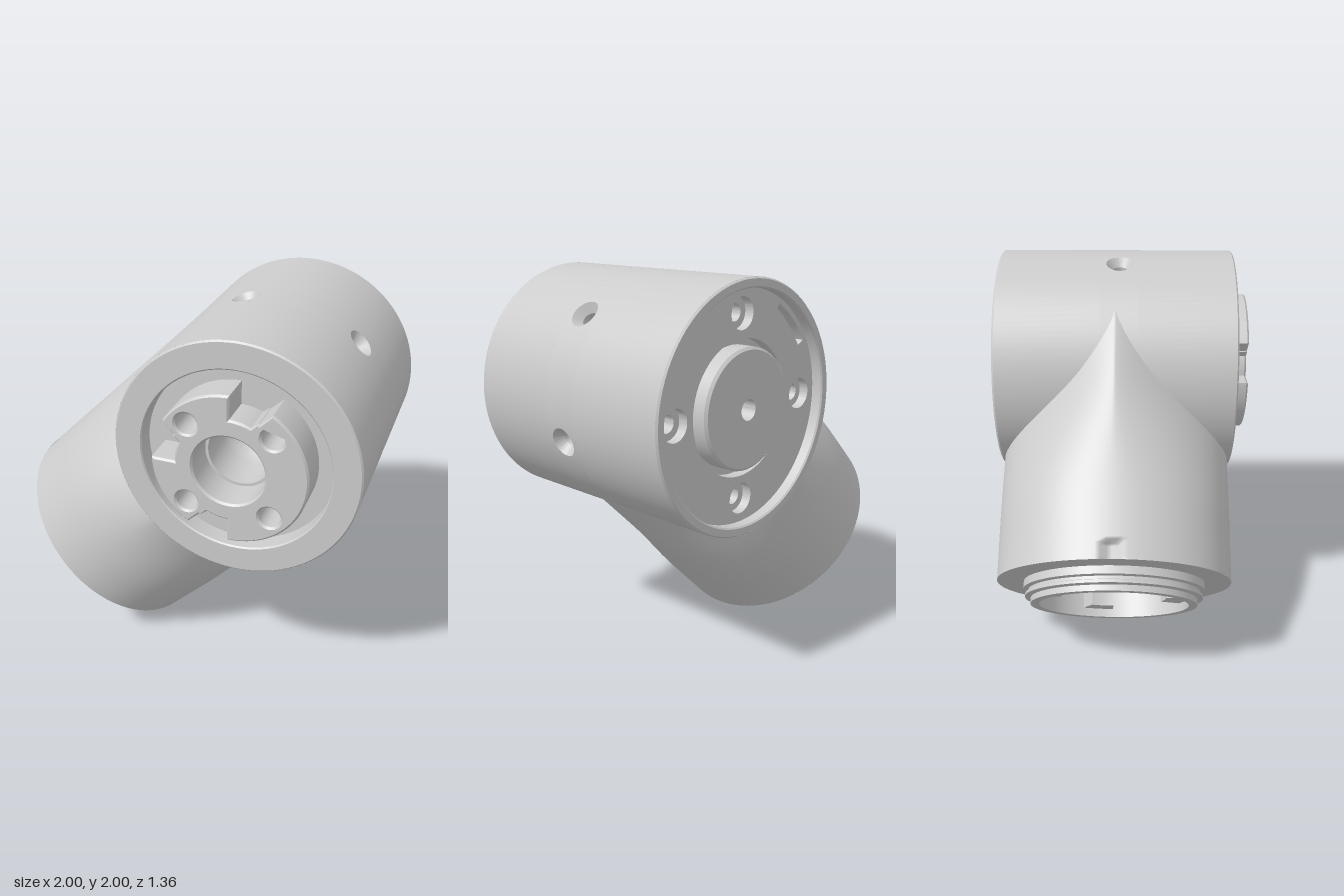
import * as THREE from 'three';
import { toCreasedNormals } from 'three/addons/utils/BufferGeometryUtils.js';

const mat = new THREE.MeshStandardMaterial({ color: 0xcccccc, side: THREE.DoubleSide });
const R = 0.62;          // outer radius of both barrels
const L = 1.326;         // branch length from the main axis
const HOLE_Z = -0.02, HOLE_HALF = 0.1;
const rad = THREE.MathUtils.degToRad;

function add(parent, name, geometry) {
  const mesh = new THREE.Mesh(geometry, mat);
  mesh.name = name;
  parent.add(mesh);
  return mesh;
}

// Revolved profile of [radius, height] pairs with sharp edges kept
function lathe(points, seg = 96, start = 0, length = Math.PI * 2) {
  const pts = points.map(([r, y]) => new THREE.Vector2(r, y));
  return toCreasedNormals(new THREE.LatheGeometry(pts, seg, start, length), 0.5);
}
// Same, but with the axis turned along +z
const latheZ = (...args) => lathe(...args).rotateX(Math.PI / 2);

function plate(shape, z, depth, bevel = 0) {
  const g = new THREE.ExtrudeGeometry(shape, {
    depth: depth - 2 * bevel, curveSegments: 40, bevelEnabled: bevel > 0,
    bevelSize: bevel, bevelThickness: bevel, bevelOffset: -bevel, bevelSegments: 1,
  });
  return toCreasedNormals(g.translate(0, 0, z + bevel), 0.5);
}

function circleHole(shape, x, y, r) {
  shape.holes.push(new THREE.Path().absarc(x, y, r, 0, Math.PI * 2, true));
}

function ringSector(r0, r1, a0, a1, Type = THREE.Shape) {
  return new Type().absarc(0, 0, r1, a0, a1, false).absarc(0, 0, r0, a1, a0, true);
}

// Skin between closed loops of Vector3
function loft(loops) {
  const n = loops[0].length, index = [];
  for (let k = 0; k < loops.length - 1; k++) {
    for (let j = 0; j < n; j++) {
      const a = k * n + j, b = k * n + (j + 1) % n;
      index.push(a, b, a + n, b, b + n, a + n);
    }
  }
  const g = new THREE.BufferGeometry().setFromPoints(loops.flat());
  g.setIndex(index);
  g.computeVertexNormals();
  return g;
}

// Main barrel wall with three countersunk radial holes
function buildWall(main) {
  const z0 = HOLE_Z - HOLE_HALF, z1 = HOLE_Z + HOLE_HALF, half = HOLE_HALF / R;
  add(main, 'barrelWallBack', latheZ([[R, -0.67], [R, z0]], 128));
  add(main, 'barrelWallFront', latheZ([[R, z1], [R, 0.592]], 128));
  const angles = [-15, 45, 105].map(rad);
  angles.forEach((a, i) => {
    const next = i < 2 ? angles[i + 1] : angles[0] + Math.PI * 2;
    const span = next - a - 2 * half;
    add(main, 'barrelWallMiddle',
      latheZ([[R, z0], [R, z1]], Math.ceil(span * 20), a + half + Math.PI / 2, span));

    // loop around the hole at a given size and barrel radius
    const loop = (size, r, square) => Array.from({ length: 48 }, (_, j) => {
      const t = j / 48 * Math.PI * 2, c = Math.cos(t), s = Math.sin(t);
      const k = square ? size / Math.max(Math.abs(c), Math.abs(s)) : size;
      const th = a + k * c / R;
      return new THREE.Vector3(r * Math.cos(th), r * Math.sin(th), HOLE_Z + k * s);
    });
    const skin = loft([loop(HOLE_HALF, R, true), loop(0.074, R)]);
    const p = skin.attributes.position, nrm = skin.attributes.normal;
    for (let v = 0; v < p.count; v++) nrm.setXYZ(v, p.getX(v) / R, p.getY(v) / R, 0);
    add(main, 'holeSurround', skin);
    add(main, 'countersunkHole', toCreasedNormals(
      loft([loop(0.074, R), loop(0.042, 0.575), loop(0.042, 0.47), loop(0.001, 0.47)]), 0.5));
  });
}

// Front: rim, recessed floor, bore and notched coupling disc
function buildFront(main) {
  add(main, 'frontRim', latheZ([
    [R, 0.592], [0.612, 0.6], [0.485, 0.6], [0.478, 0.593], [0.478, 0.5],
    [0.165, 0.5], [0.165, 0.3], [0.155, 0.26], [0.135, 0.225], [0.1, 0.205], [0, 0.2],
  ]));
  const disc = new THREE.Shape();
  let from = 0;
  for (const deg of [90, 180, 270]) {
    const end = rad(deg);
    disc.absarc(0, 0, 0.39, from, end - rad(32), false);
    disc.absarc(0, 0, 0.31, end - rad(28), end - rad(27), false);
    disc.absarc(0, 0, 0.27, end - rad(23), end, false);
    from = end;
  }
  disc.absarc(0, 0, 0.39, from, Math.PI * 2 - 0.01, false);
  circleHole(disc, 0, 0, 0.18);
  for (const x of [-1, 1]) for (const y of [-1, 1]) circleHole(disc, x * 0.21, y * 0.21, 0.055);
  add(main, 'couplingDisc', plate(disc, 0.49, 0.19, 0.01));
}

// Back: rim, screw plate with a key slot, and central boss
function buildBack(main) {
  add(main, 'backRim', latheZ([[0.57, -0.5], [0.57, -0.672], [0.577, -0.68], [0.612, -0.68], [R, -0.67]]));
  const layers = [['screwPlate', 0.078, -0.62, 0.05], ['screwSeatPlate', 0.043, -0.57, 0.07]];
  for (const [name, holeR, z, depth] of layers) {
    const shape = new THREE.Shape().absarc(0, 0, 0.571, 0, Math.PI * 2, false);
    circleHole(shape, 0, 0, 0.335);
    for (let i = 0; i < 4; i++) {
      const a = i * Math.PI / 2;
      circleHole(shape, 0.45 * Math.cos(a), 0.45 * Math.sin(a), holeR);
    }
    if (name === 'screwPlate') shape.holes.push(ringSector(0.5, 0.545, rad(120), rad(150), THREE.Path));
    add(main, name, plate(shape, z, depth));
  }
  add(main, 'backFloor', latheZ([[0.3, -0.5], [0.571, -0.5]]));
  add(main, 'centreBoss', latheZ([
    [0, -0.54], [0.052, -0.54], [0.052, -0.665], [0.285, -0.665], [0.298, -0.652],
    [0.298, -0.56], [0.336, -0.56],
  ]));
}

// Branch barrel along local +y, pinched to a ridge where it meets the main barrel
function buildBranch(branch) {
  const loops = [], N = 144, K = 96;
  const pow = (v, e) => Math.sign(v) * Math.abs(v) ** e;
  for (let k = 0; k <= K; k++) {
    const s = L * k / K;
    const e = 2 / (1.35 + 0.65 * THREE.MathUtils.smoothstep(s, 0.3, 1.05));
    const loop = [];
    for (let j = 0; j < N; j++) {
      const t = -j / N * Math.PI * 2;
      let x = R * pow(Math.cos(t), e);
      const z = R * pow(Math.sin(t), e);
      // stay inside the main wall instead of crossing its interior
      const y = Math.max(s, Math.sqrt(Math.max(0, 0.36 - x * x)));
      // small alignment notch at the open end
      if (x > 0 && Math.abs(z) < 0.036 && s > L - 0.09) x -= 0.04;
      loop.push(new THREE.Vector3(x, y, z));
    }
    loops.push(loop);
  }
  const g = loft(loops.reverse());
  add(branch, 'branchBarrel', g);

  // stepped spigot with a hollow socket
  add(branch, 'branchSpigot', lathe([
    [R, L], [0.48, L], [0.48, L + 0.04], [0.455, L + 0.045], [0.455, L + 0.06],
    [0.47, L + 0.065], [0.47, L + 0.08], [0.44, L + 0.085], [0.44, L + 0.115],
    [0.395, L + 0.115], [0.395, L - 0.06], [0.165, L - 0.06], [0.165, L - 0.25], [0, L - 0.25],
  ]));
  // socket teeth matching the coupling disc notches
  for (const deg of [90, 180, 270]) {
    const tooth = plate(ringSector(0.28, 0.4, rad(deg - 27), rad(deg - 2)), 0, 0.13);
    add(branch, 'socketTooth', tooth.rotateX(-Math.PI / 2).translate(0, L - 0.06, 0));
  }
}

export function createModel() {
  const model = new THREE.Group();
  model.name = 'angledCoupling';

  const main = new THREE.Group();
  main.name = 'mainBarrel';
  main.position.set(0.378, 1.38, 0);
  buildWall(main);
  buildFront(main);
  buildBack(main);

  const branch = new THREE.Group();
  branch.name = 'branch';
  branch.position.set(0.378, 1.38, -0.04);
  branch.rotation.z = rad(135);
  buildBranch(branch);

  model.add(main, branch);
  return model;
}
